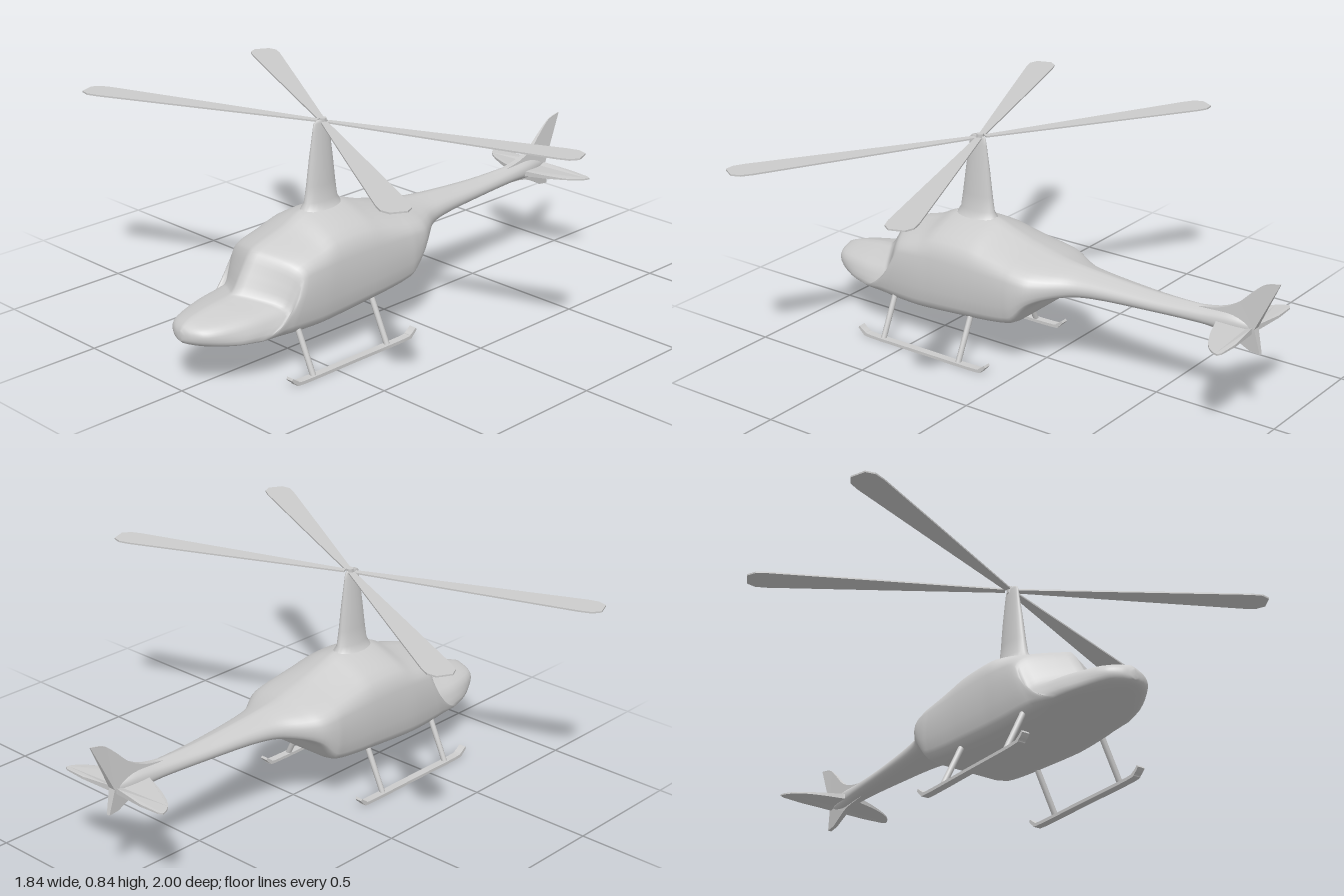
import * as THREE from 'three';

const mat = new THREE.MeshStandardMaterial({ color: 0xcccccc, side: THREE.DoubleSide });
const V = (x, y, z) => new THREE.Vector3(x, y, z);

function add(parent, name, geometry) {
  const mesh = new THREE.Mesh(geometry, mat);
  mesh.name = name;
  parent.add(mesh);
  return mesh;
}

// Skin over closed rings of equal point count, with both ends capped
function loft(rings) {
  const n = rings[0].length, pos = [], idx = [];
  rings.forEach(r => r.forEach(p => pos.push(p.x, p.y, p.z)));
  for (let i = 0; i < rings.length - 1; i++) {
    for (let j = 0; j < n; j++) {
      const a = i * n + j, b = i * n + (j + 1) % n;
      idx.push(a, a + n, b, b, a + n, b + n);
    }
  }
  [0, rings.length - 1].forEach((r, end) => {
    const c = rings[r].reduce((s, p) => s.add(p), V(0, 0, 0)).divideScalar(n);
    const ci = pos.length / 3;
    pos.push(c.x, c.y, c.z);
    for (let j = 0; j < n; j++) {
      const a = r * n + j, b = r * n + (j + 1) % n;
      if (end) idx.push(ci, b, a); else idx.push(ci, a, b);
    }
  });
  const g = new THREE.BufferGeometry();
  g.setAttribute('position', new THREE.Float32BufferAttribute(pos, 3));
  g.setIndex(idx);
  g.computeVertexNormals();
  return g;
}

// Stations: z, bottom, shoulder, top, half width, backward sweep of the upper part
const front = [
  [0.998, 0.19, 0.205, 0.225, 0.012, 0], [0.985, 0.178, 0.21, 0.243, 0.05, 0],
  [0.95, 0.168, 0.215, 0.26, 0.095, 0], [0.85, 0.155, 0.22, 0.28, 0.15, 0.04],
  [0.78, 0.15, 0.23, 0.288, 0.17, 0.1], [0.755, 0.148, 0.235, 0.295, 0.176, 0.11],
  [0.71, 0.146, 0.29, 0.36, 0.185, 0.095], [0.665, 0.144, 0.345, 0.425, 0.191, 0.075],
  [0.63, 0.143, 0.36, 0.442, 0.195, 0.065], [0.5, 0.141, 0.37, 0.48, 0.2, 0.02],
  [0.41, 0.145, 0.375, 0.52, 0.2, 0], [0.25, 0.158, 0.375, 0.525, 0.2, 0],
];
const rear = [
  [0.17, 0.165, 0.372, 0.5, 0.2, 0], [0.07, 0.18, 0.37, 0.467, 0.2, 0],
  [0.03, 0.195, 0.367, 0.457, 0.2, 0], [-0.03, 0.27, 0.362, 0.443, 0.19, 0],
  [-0.08, 0.298, 0.36, 0.433, 0.16, 0], [-0.16, 0.313, 0.362, 0.424, 0.107, 0],
  [-0.25, 0.322, 0.365, 0.416, 0.083, 0], [-0.5, 0.33, 0.365, 0.402, 0.055, 0],
  [-0.7, 0.335, 0.367, 0.405, 0.039, 0], [-0.82, 0.33, 0.367, 0.41, 0.03, 0],
  [-0.91, 0.35, 0.365, 0.385, 0.01, 0],
];

function fuselageGeometry() {
  const halfRings = [...front, ...rear].map(([z, yb, ys, yt, w, sweep]) => {
    const up = f => ys + (yt - ys) * f, down = f => yb + (ys - yb) * f;
    const k = THREE.MathUtils.clamp((w - 0.05) / 0.15, 0, 1); // boxiness
    const curve = new THREE.CatmullRomCurve3([
      V(0, yb, z),
      V(w * (0.6 + 0.25 * k), down(0.2 - 0.15 * k), z),
      V(w * (0.93 + 0.06 * k), down(0.55 - 0.33 * k), z),
      V(w, ys, z - sweep),
      V(w * 0.85, up(0.45), z - sweep * 0.85),
      V(w * 0.42, up(0.8), z - sweep * 0.42),
      V(0, yt, z),
    ]);
    return curve.getPoints(18);
  });
  // Smooth every column of points from nose to tail
  const steps = (halfRings.length - 1) * 4;
  const columns = halfRings[0].map((_, j) =>
    new THREE.CatmullRomCurve3(halfRings.map(r => r[j])).getPoints(steps));
  const rings = [];
  for (let i = 0; i <= steps; i++) {
    const half = columns.map(c => c[i]);
    const mirror = half.slice(1, -1).reverse().map(p => V(-p.x, p.y, p.z));
    rings.push([...half, ...mirror]);
  }
  return loft(rings);
}

// Tapering oval mast with a flared foot: y, centre z, half depth, half width
function mastGeometry() {
  const rows = [[0.47, 0.325, 0.13, 0.09], [0.51, 0.325, 0.095, 0.05], [0.54, 0.325, 0.077, 0.034],
    [0.6, 0.324, 0.068, 0.028], [0.7, 0.322, 0.055, 0.022], [0.8, 0.32, 0.04, 0.012],
    [0.828, 0.32, 0.035, 0.009], [0.838, 0.32, 0.02, 0.006]];
  return loft(rows.map(([y, z, rz, rx]) => Array.from({ length: 24 }, (_, j) => {
    const a = j / 24 * Math.PI * 2;
    return V(rx * Math.cos(a), y, z + rz * Math.sin(a));
  })));
}

// Flat outline extruded symmetrically about its plane
function slab(points, depth) {
  const shape = new THREE.Shape(points.map(p => new THREE.Vector2(p[0], p[1])));
  return new THREE.ExtrudeGeometry(shape, { depth, bevelEnabled: false }).translate(0, 0, -depth / 2);
}

// Outline smoothed by a spline
const smooth = (pts, n) => new THREE.SplineCurve(pts.map(p => new THREE.Vector2(...p)))
  .getPoints(n).map(p => [p.x, p.y]);

export function createModel() {
  const model = new THREE.Group();
  model.name = 'helicopter';
  add(model, 'fuselage', fuselageGeometry());
  add(model, 'mast', mastGeometry());

  // Main rotor, slightly tilted
  const rotor = new THREE.Group();
  rotor.name = 'mainRotor';
  rotor.position.set(0, 0.83, 0.31);
  rotor.rotation.set(-0.008, 0, 0.006);
  model.add(rotor);
  add(rotor, 'hub', new THREE.CylinderGeometry(0.014, 0.014, 0.026, 12));
  const edge = [[0.02, 0.012], [0.12, 0.017], [0.5, 0.036], [0.9, 0.055], [0.945, 0.052], [0.975, 0.03]];
  const outline = [...edge.map(([x, y]) => [x, -y]), ...edge.slice().reverse()];
  const tips = [[0.9, -0.35], [-0.85, -0.47], [-0.9, 0.36], [0.84, 0.47]];
  for (const [x, z] of tips) {
    const blade = add(rotor, 'rotorBlade', slab(outline, 0.006).rotateX(-Math.PI / 2));
    blade.rotation.y = Math.atan2(-z, x);
  }

  // Vertical fin in the z-y plane, thinning towards its tips
  const fin = slab([
    ...smooth([[-0.68, 0.4], [-0.76, 0.415], [-0.83, 0.448], [-0.89, 0.505], [-0.94, 0.545], [-1, 0.56]], 16),
    [-0.91, 0.37], [-0.932, 0.275],
    ...smooth([[-0.89, 0.28], [-0.84, 0.305], [-0.78, 0.328], [-0.68, 0.337]], 8),
  ], 0.03).rotateY(-Math.PI / 2).scale(1, 1, 1);
  const fp = fin.attributes.position;
  for (let i = 0; i < fp.count; i++) {
    fp.setX(i, fp.getX(i) * Math.max(0.15, 1 - Math.abs(fp.getY(i) - 0.37) / 0.19));
  }
  fin.computeVertexNormals();
  add(model, 'tailFin', fin);

  // Horizontal stabilizer, thinning towards its tips
  const lead = smooth([[0, -0.745], [0.035, -0.765], [0.12, -0.795], [0.2, -0.835], [0.24, -0.873], [0.252, -0.903]], 14);
  const half = [...lead, [0.235, -0.912], [0.15, -0.916], [0.02, -0.902]];
  const wing = slab([...half, ...half.slice(1).reverse().map(([x, z]) => [-x, z])], 0.024).rotateX(Math.PI / 2);
  const wp = wing.attributes.position;
  for (let i = 0; i < wp.count; i++) {
    wp.setY(i, 0.362 + wp.getY(i) * Math.max(0.25, 1 - Math.abs(wp.getX(i)) / 0.25));
  }
  wing.computeVertexNormals();
  add(model, 'stabilizer', wing);

  // Landing gear: upturned flat skids on two pairs of struts
  const upper = smooth([[0.1, 0.038], [0.125, 0.019], [0.16, 0.012], [0.4, 0.012], [0.65, 0.012], [0.69, 0.02], [0.715, 0.038]], 24);
  const lower = smooth([[0.72, 0.03], [0.7, 0.011], [0.66, 0], [0.4, 0], [0.15, 0], [0.115, 0.01], [0.095, 0.03]], 24);
  for (const s of [1, -1]) {
    const gear = new THREE.Group();
    gear.name = s > 0 ? 'leftLandingGear' : 'rightLandingGear';
    model.add(gear);
    const skid = slab([...upper, ...lower], 0.03).rotateY(-Math.PI / 2);
    add(gear, 'skid', skid).position.x = s * 0.25;
    for (const z of [0.605, 0.235]) {
      const path = new THREE.LineCurve3(V(s * 0.25, 0.008, z), V(s * 0.165, 0.185, z));
      add(gear, 'strut', new THREE.TubeGeometry(path, 1, 0.011, 10));
    }
  }
  return model;
}
